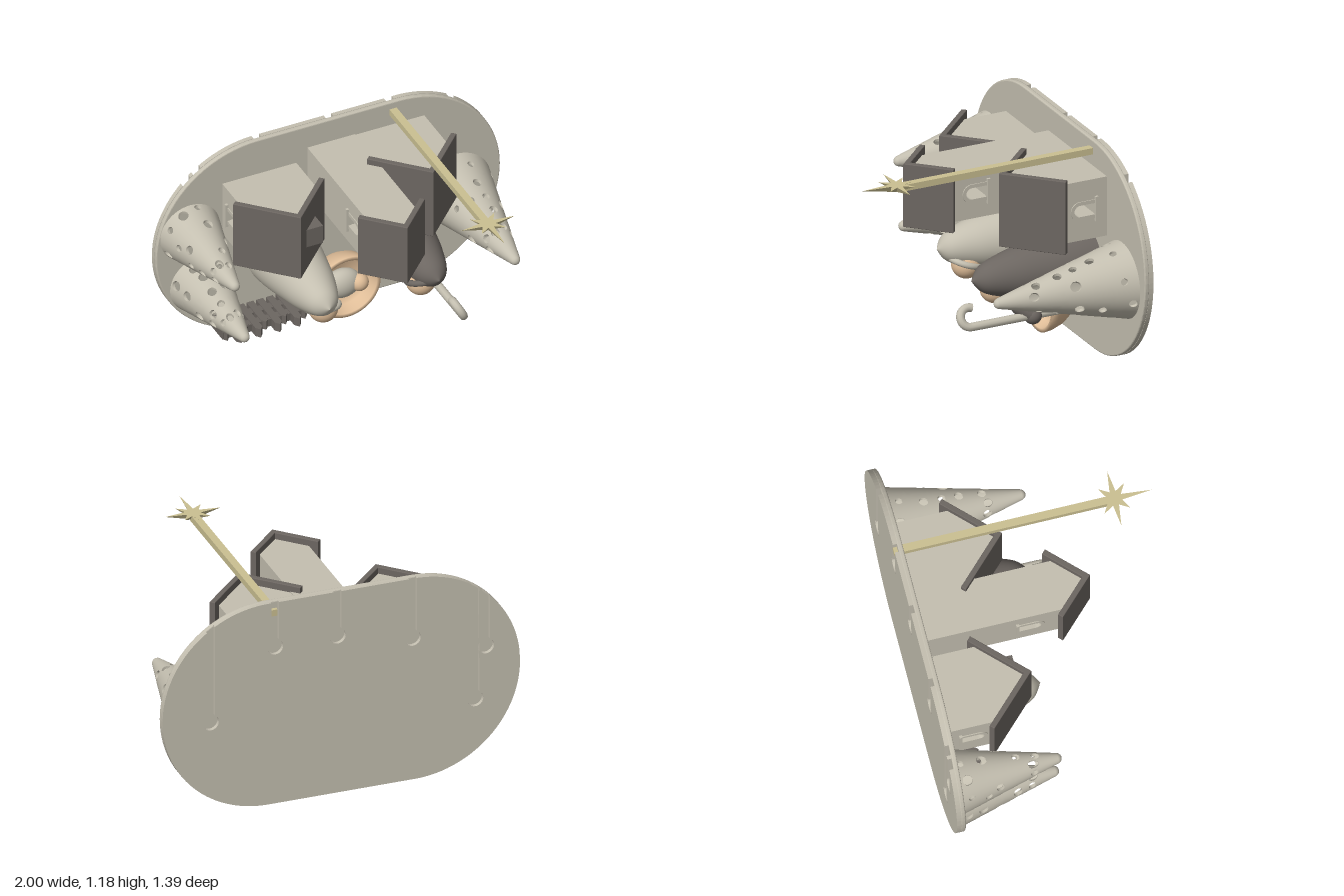
import * as THREE from 'three';

const mat = (name, color, side = THREE.FrontSide) => {
  const m = new THREE.MeshStandardMaterial({ color, side });
  m.name = name;
  return m;
};

export function createModel() {
  const stone = mat('pale stone', 0xc4bfb0);
  const stoneThin = mat('pale stone shell', 0xc4bfb0, THREE.DoubleSide);
  const dark = mat('dark brown grey', 0x6c6661);
  const tan = mat('skin tan', 0xdfbd98);
  const tanThin = mat('bowl tan', 0xdfbd98, THREE.DoubleSide);
  const gold = mat('pale gold', 0xcbc092);

  const root = new THREE.Group();
  // The scene stands on the plate: local y is height above it, local z is world -y
  const scene = new THREE.Group();
  scene.name = 'scene';
  scene.rotation.x = Math.PI / 2;
  scene.position.z = -0.65;
  root.add(scene);

  const add = (parent, name, geo, material, x = 0, y = 0, z = 0) => {
    const m = new THREE.Mesh(geo, material);
    m.name = name;
    m.position.set(x, y, z);
    parent.add(m);
    return m;
  };
  const group = (name, x, y, z) => {
    const g = new THREE.Group();
    g.name = name;
    g.position.set(x, y, z);
    scene.add(g);
    return g;
  };
  const V2 = (x, y) => new THREE.Vector2(x, y);
  const V3 = (x, y, z) => new THREE.Vector3(x, y, z);
  const poly = (pts) => new THREE.Shape(pts.map(([x, y]) => V2(x, y)));
  const extrude = (shape, depth, bevel = 0) => new THREE.ExtrudeGeometry(shape, {
    depth: depth - 2 * bevel, bevelEnabled: bevel > 0, bevelThickness: bevel,
    bevelSize: bevel, bevelOffset: -bevel, bevelSegments: 3, curveSegments: 20,
  });
  const lathe = (pts) => new THREE.LatheGeometry(
    new THREE.SplineCurve(pts.map(([r, h]) => V2(r, h))).getPoints(30).map((p) => V2(Math.max(p.x, 0), p.y)), 40);

  // Base plate: solid front layer and a back layer with keyhole slots
  const R = 0.59, L = 0.41, CY = 0.6;
  const topY = (x) => CY + Math.sqrt(Math.max(0, R * R - Math.max(0, Math.abs(x) - L) ** 2));
  const arcPts = (cx, cy, r, a0, a1, n) => Array.from({ length: n + 1 }, (_, i) => {
    const a = a0 + (a1 - a0) * i / n;
    return [cx + Math.cos(a) * r, cy + Math.sin(a) * r];
  });
  const PI = Math.PI;
  const stadium = [...arcPts(L, CY, R, -PI / 2, PI / 2, 40), ...arcPts(-L, CY, R, PI / 2, 1.5 * PI, 40)];
  add(root, 'plateFront', extrude(poly(stadium), 0.028, 0.008), stone, 0, 0, -0.67);

  const w = 0.022, hr = 0.045;
  const slots = [[0.73, 0.55], [0.37, 0.93], [0.02, 0.93], [-0.4, 0.84], [-0.75, 0.42], [-0.81, 0.72]];
  const upper = [...arcPts(L, CY, R, 0, PI / 2, 30), ...arcPts(-L, CY, R, PI / 2, PI, 30)];
  const back = [...arcPts(-L, CY, R, PI, 1.5 * PI, 30), ...arcPts(L, CY, R, 1.5 * PI, 2 * PI, 30)];
  let last = 2;
  const notch = ([x, y]) => {
    const a = Math.asin(w / hr);
    return [[x + w, topY(x + w)], ...arcPts(x, y, hr, PI / 2 - a, PI / 2 - a - (2 * PI - 2 * a), 20), [x - w, topY(x - w)]];
  };
  for (const s of slots) {
    back.push(...upper.filter(([x]) => x < last && x > s[0] + w + 0.003), ...notch(s));
    last = s[0] - w - 0.003;
  }
  back.push(...upper.filter(([x]) => x < last && x > -0.999));
  add(root, 'plateBack', extrude(poly(back), 0.025), stone, 0, 0, -0.7);

  // Houses: walls with an arched window through them, gable, roof and sills
  const arch = (r, h, C = THREE.Shape) => {
    const s = new C();
    s.moveTo(-r, 0);
    s.lineTo(r, 0);
    s.lineTo(r, h);
    s.absarc(0, h, r, 0, PI, false);
    s.lineTo(-r, 0);
    return s;
  };
  const house = (x, y, halfW, len, peak, roofHalf, roofLen, winH) => {
    const g = group('house', x, 0, -y);
    const t = 0.03, k = t / Math.SQRT2;
    const eave = peak - halfW - t * Math.SQRT2;
    const wall = poly([[-len / 2, 0], [len / 2, 0], [len / 2, eave], [-len / 2, eave]]);
    const move = (s) => s.getPoints(20).map((p) => V2(p.x, p.y + winH));
    wall.holes.push(new THREE.Path(move(arch(0.032, 0.09))));
    add(g, 'walls', extrude(wall, halfW * 2).translate(0, 0, -halfW).rotateY(-PI / 2), stone);
    add(g, 'gable', extrude(poly([[-halfW, eave], [halfW, eave], [0, eave + halfW]]), len), stone, 0, 0, -len / 2);
    const roof = [[0, peak], [-roofHalf, peak - roofHalf], [-roofHalf + k, peak - roofHalf - k],
      [0, peak - 2 * k], [roofHalf - k, peak - roofHalf - k], [roofHalf, peak - roofHalf]];
    add(g, 'roof', extrude(poly(roof), roofLen, 0.004), dark, 0, 0, -roofLen / 2 + 0.004);
    const frame = new THREE.Shape(move(arch(0.052, 0.09)));
    frame.holes.push(new THREE.Path(move(arch(0.032, 0.09))));
    for (const s of [-1, 1]) {
      add(g, 'windowFrame', extrude(frame, 0.01).translate(0, 0, -0.005).rotateY(-PI / 2), stone, s * halfW);
      add(g, 'windowSill', new THREE.BoxGeometry(0.03, 0.016, 0.14), stone, s * halfW, winH - 0.006, 0);
    }
    // Door on the scene's front side
    const door = arch(0.06, 0.14);
    door.holes.push(arch(0.045, 0.135, THREE.Path));
    add(g, 'doorFrame', extrude(door, 0.012), stone, 0, 0, len / 2 - 0.003);
    return g;
  };
  const houseA = house(-0.4, 0.815, 0.215, 0.32, 0.5, 0.265, 0.395, 0.07);
  add(houseA, 'chimney', new THREE.BoxGeometry(0.1, 0.19, 0.11), dark, 0.11, 0.34, 0);
  house(0.017, 0.91, 0.138, 0.285, 0.92, 0.195, 0.36, 0.5);
  house(0.355, 0.88, 0.203, 0.335, 0.53, 0.26, 0.415, 0.07);

  // Cone trees: hollow shell made of cells, most with a round hole
  const tree = (x, y, rad, H, seed) => {
    const g = group('coneTree', x, 0, -y);
    const rnd = () => (seed = (seed * 16807) % 2147483647) / 2147483647;
    const tip = 0.028, cols = 8, rows = 6, n = 32;
    const pos = [], nor = [], rim = [];
    const at = (u, v, inset = 0) => {
      const r = rad * (1 - v) + tip * v - inset, a = u / cols * 2 * PI;
      return V3(Math.cos(a) * r, v * H, Math.sin(a) * r);
    };
    const quad = (out, a, b, c, d) => [a, b, c, a, c, d].forEach((p) => out.push(p.x, p.y, p.z));
    for (let j = 0; j < rows; j++) for (let i = 0; i < cols; i++) {
      const v = (j + 0.5) / rows, cell = 2 * PI * (rad * (1 - v) + tip * v) / cols;
      const size = (rnd() < 0.72 && j < rows - 1) ? 0.016 + 0.014 * rnd() : 0;
      const du = Math.min(0.4, size / cell), dv = Math.min(0.4, size / H * rows);
      const cu = i + 0.5 + (rnd() - 0.5) * (0.9 - 2 * du), cv = j + 0.5 + (rnd() - 0.5) * (0.9 - 2 * dv);
      const ringPoint = (k, t) => {
        const c = Math.cos(k / n * 2 * PI), s = Math.sin(k / n * 2 * PI), m = Math.max(Math.abs(c), Math.abs(s));
        const u = (cu + c * du) * (1 - t) + (i + 0.5 + c / m / 2) * t;
        return [u, ((cv + s * dv) * (1 - t) + (j + 0.5 + s / m / 2) * t) / rows];
      };
      for (let k = 0; k < n; k++) {
        for (const t of [0, 0.5]) {
          quad(pos, at(...ringPoint(k, t)), at(...ringPoint(k + 1, t)), at(...ringPoint(k + 1, t + 0.5)), at(...ringPoint(k, t + 0.5)));
        }
        if (size) quad(rim, at(...ringPoint(k, 0)), at(...ringPoint(k, 0), 0.015), at(...ringPoint(k + 1, 0), 0.015), at(...ringPoint(k + 1, 0)));
      }
    }
    for (let i = 0; i < pos.length; i += 3) {
      const q = V3(pos[i], 0, pos[i + 2]).normalize().setY((rad - tip) / H).normalize();
      nor.push(q.x, q.y, q.z);
    }
    const skin = new THREE.BufferGeometry();
    skin.setAttribute('position', new THREE.Float32BufferAttribute(pos, 3));
    skin.setAttribute('normal', new THREE.Float32BufferAttribute(nor, 3));
    add(g, 'treeShell', skin, stoneThin);
    const rims = new THREE.BufferGeometry();
    rims.setAttribute('position', new THREE.Float32BufferAttribute(rim, 3));
    rims.computeVertexNormals();
    add(g, 'holeRims', rims, stoneThin);
    add(g, 'treeTip', new THREE.SphereGeometry(tip, 24, 12), stone, 0, H - 0.006, 0);
  };
  tree(0.735, 0.53, 0.21, 0.728, 11);
  tree(-0.802, 0.722, 0.173, 0.54, 23);
  tree(-0.745, 0.375, 0.173, 0.54, 37);

  // Cloaked figures with a face under a hood
  const figure = (name, x, y, H, material, fx, fz) => {
    const g = group(name, x, 0, -y);
    add(g, 'cloak', lathe([[0.193, 0], [0.183, H * 0.18], [0.155, H * 0.45], [0.125, H * 0.68], [0.075, H * 0.9], [0, H]]), material);
    add(g, 'face', new THREE.SphereGeometry(0.08, 28, 18), tan, fx, H - 0.155, fz);
    const hood = add(g, 'hoodRim', new THREE.TorusGeometry(0.085, 0.017, 12, 32), material, fx * 0.8, H - 0.145, fz - 0.015);
    hood.rotation.x = -0.35;
    return g;
  };
  figure('palefigure', -0.27, 0.43, 0.58, stone, 0.035, 0.095);
  figure('darkFigure', 0.32, 0.49, 0.675, dark, -0.035, 0.08);

  // Arm and shepherd's crook
  const arm = [V3(0.35, 0.47, -0.42), V3(0.39, 0.43, -0.33), V3(0.422, 0.365, -0.277)];
  add(scene, 'arm', new THREE.TubeGeometry(new THREE.CatmullRomCurve3(arm), 16, 0.045, 16), dark);
  add(scene, 'hand', new THREE.SphereGeometry(0.048, 20, 14), dark, ...arm[2].toArray());
  const hook = new THREE.CurvePath();
  const foot = V3(0.425, 0, -0.28), neck = V3(0.425, 0.725, -0.28);
  hook.add(new THREE.LineCurve3(foot, neck));
  hook.add(new THREE.CatmullRomCurve3(arcPts(0.052, 0, 0.052, PI, -0.45, 12).map(
    ([d, h]) => V3(0.425 - d * 0.47, 0.725 + h, -0.28 - d * 0.88))));
  add(scene, 'crook', new THREE.TubeGeometry(hook, 80, 0.023, 10), stoneThin);

  // Bowl crib and baby
  const crib = group('crib', 0.043, 0, -0.197);
  const bowl = [[0.13, 0], [0.165, 0.05], [0.185, 0.11], [0.19, 0.15], [0.168, 0.15], [0.15, 0.09], [0.12, 0.05], [0, 0.04]];
  add(crib, 'bowl', new THREE.LatheGeometry(bowl.map(([r, h]) => V2(r, h)), 48), tanThin);
  add(crib, 'swaddledBaby', new THREE.SphereGeometry(0.09, 28, 18), stone, -0.01, 0.1, 0).scale.set(1.15, 0.7, 0.95);
  add(crib, 'babyHead', new THREE.SphereGeometry(0.05, 24, 16), tan, 0.075, 0.13, 0);

  // Low dark fence
  const fence = group('fence', -0.455, 0, -0.138);
  for (let i = 0; i < 9; i++) {
    const h = 0.2 + 0.05 * (i % 2);
    add(fence, 'picket', extrude(poly([[-0.02, 0], [0.02, 0], [0.02, h - 0.025], [0, h], [-0.02, h - 0.025]]), 0.052),
      dark, -0.225 + i * 0.0563, 0, -0.026);
  }
  for (const h of [0.07, 0.16]) add(fence, 'rail', new THREE.BoxGeometry(0.49, 0.045, 0.045), dark, 0, h, 0);

  // Star on a long rod
  add(scene, 'starRod', new THREE.BoxGeometry(0.042, 1.18, 0.036), gold, 0.377, 0.54, -1.13);
  const tips = [0.155, 0.1, 0.2, 0.1, 0.155, 0.1, 0.09, 0.1];
  const rimPts = tips.flatMap((r, i) => [[r, i * PI / 4], [0.042, (i + 0.5) * PI / 4]])
    .map(([r, a]) => V3(Math.cos(a) * r, Math.sin(a) * r, 0));
  const star = rimPts.flatMap((p, i) => {
    const q = rimPts[(i + 1) % rimPts.length];
    return [V3(0, 0, 0.042), p, q, V3(0, 0, 0), q, p];
  });
  const starGeo = new THREE.BufferGeometry().setFromPoints(star);
  starGeo.computeVertexNormals();
  add(scene, 'star', starGeo, gold, 0.377, 1.14, -1.15);

  return root;
}
